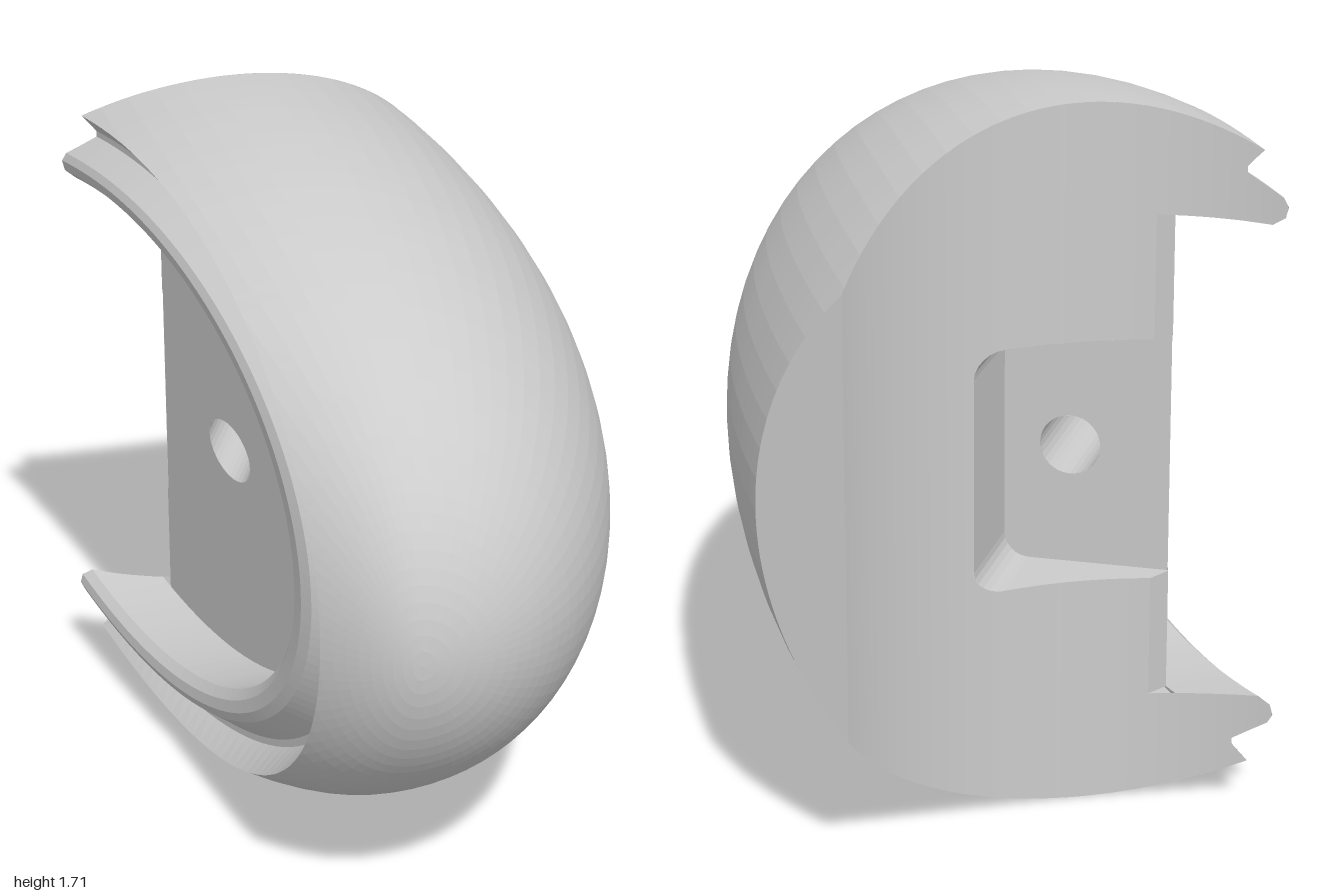
import * as THREE from 'three';
import { ParametricGeometry } from 'three/addons/geometries/ParametricGeometry.js';

const CY = 0.855;                       // height of the mirror plane
const material = new THREE.MeshStandardMaterial({ color: 0xcccccc, flatShading: true, side: THREE.DoubleSide });

// --- Bounding surfaces: each is negative on the solid side ---
// Sheared blunt ellipsoid of the outer body, pinched towards the nose on its open side
const BLUNT = 2.15;
const pinch = (x, z) => (x < 0 && z > 0 ? 1 + 0.75 * z ** 4 : 1);
function body(p) {
  const x = (p.x + 0.2 - 0.1625 * (p.z + 0.6)) / 0.81, z = (p.z + 0.6) / 1.6;
  return (x * pinch(x, z)) ** 2 + ((p.y - CY) / 0.855) ** 2 + Math.abs(z) ** BLUNT - 1;
}
// Upright cylinder that hollows the back
const R = 0.785, CX = -0.338, CZ = -1.382;
const backCut = p => R - Math.hypot(p.x - CX, p.z - CZ);
// Flat at the back edge
const facetCut = p => -(p.z + 1) + 0.487 * (p.x - 0.35);
// Oblique, slightly bowed opening with origin O, direction E and outward normal N
const O = new THREE.Vector3(-0.6, CY, -0.655);
const E = new THREE.Vector3(0.29, 0, 1).normalize();
const N = new THREE.Vector3(-E.z, 0, E.x);
const bow = s => 0.0415 * s - 0.0267 * s * s;
const lengthwise = p => (p.x - O.x) * E.x + (p.z - O.z) * E.z;
const height = p => (p.x - O.x) * N.x + (p.z - O.z) * N.z;
const opening = p => height(p) + bow(lengthwise(p));
// Flat floor of the cavity
const cavityFloor = p => -(p.x + 0.405 - 0.354 * (p.z + 0.55));

// --- Edge of the opening, as a factor on a nominal ellipse ---
const S0 = 0.245, A = 1.345, B = 0.755;
function edgeFactor(angle) {
  const p = new THREE.Vector3();
  let lo = 0, hi = 1.3;
  for (let i = 0; i < 18; i++) {
    const r = (lo + hi) / 2, s = S0 + A * r * Math.cos(angle);
    p.copy(O).addScaledVector(E, s).addScaledVector(N, -bow(s));
    p.y = CY + B * r * Math.sin(angle);
    if (body(p) < 0) lo = r; else hi = r;
  }
  return lo;
}

// Rim profile: [inset from the edge, height above the opening]
const PROFILE = [[0, 0], [0.04, -0.03], [0.055, -0.03], [0.1, 0.036], [0.12, 0.045], [0.145, 0.04], [0.165, 0.018]];
const INSET = 0.165;

function rimHeight(d, s) {
  let i = 1;
  while (i < PROFILE.length - 1 && d > PROFILE[i][0]) i++;
  const [d0, h0] = PROFILE[i - 1], [d1, h1] = PROFILE[i];
  const k = THREE.MathUtils.clamp((d - d0) / (d1 - d0), 0, 1);
  const lip = THREE.MathUtils.clamp(d / 0.04, 0, 1);
  return h0 + (h1 - h0) * k - lip * 0.0615 * s - (1 - lip) * bow(s);
}

function inset(p) {
  const a = (lengthwise(p) - S0) / A, b = (p.y - CY) / B;
  return (1 - Math.hypot(a, b) / edgeFactor(Math.atan2(b, a))) * B;
}

const rimSolid = p => {
  const d = inset(p);
  return d < INSET ? height(p) - rimHeight(d, lengthwise(p)) : cavityFloor(p);
};
const outsideCavity = p => INSET - inset(p);
// Bevel between the cavity floor and the concave back
const bevelCut = p => Math.min(-(p.x + p.z) - 0.956, inset(p) - INSET);

// --- Rear pocket and screw hole, along one slanted axis ---
const F = new THREE.Vector3(-0.173, CY, -0.48);
const AXIS = new THREE.Vector3(0.28, 0, -0.96).normalize();
const SIDE = new THREE.Vector3(-AXIS.z, 0, AXIS.x);
const HOLE = 0.073, Q0 = -0.35, Q1 = 0.16, PH = 0.295, PR = 0.06;
const along = (p, v) => (p.x - F.x) * v.x + (p.z - F.z) * v.z;
const holeCut = p => HOLE - Math.hypot(along(p, SIDE), p.y - CY);
function pocketCut(p) {
  const a = Math.abs(along(p, SIDE) - (Q0 + Q1) / 2) - (Q1 - Q0) / 2 + PR;
  const b = Math.abs(p.y - CY) - PH + PR;
  const rect = Math.hypot(Math.max(a, 0), Math.max(b, 0)) + Math.min(Math.max(a, b), 0) - PR;
  return Math.min(-rect, along(p, AXIS) + 0.001);
}

// Trims a geometry to the side where every given function is negative
function trim(geometry, ...cuts) {
  const pos = geometry.toNonIndexed().getAttribute('position');
  let tris = [];
  for (let i = 0; i < pos.count; i += 3)
    tris.push([0, 1, 2].map(k => new THREE.Vector3().fromBufferAttribute(pos, i + k)));
  const crossing = (inside, outside, f) => {
    const a = inside.clone(), b = outside.clone(), m = new THREE.Vector3();
    for (let i = 0; i < 16; i++) {
      m.addVectors(a, b).multiplyScalar(0.5);
      (f(m) <= 0 ? a : b).copy(m);
    }
    return a;
  };
  for (const f of cuts) {
    const next = [];
    for (const t of tris) {
      const keep = t.map(p => f(p) <= 0), poly = [];
      for (let k = 0; k < 3; k++) {
        const j = (k + 1) % 3;
        if (keep[k]) poly.push(t[k]);
        if (keep[k] !== keep[j]) poly.push(keep[k] ? crossing(t[k], t[j], f) : crossing(t[j], t[k], f));
      }
      for (let k = 2; k < poly.length; k++) next.push([poly[0], poly[k - 1], poly[k]]);
    }
    tris = next;
  }
  const out = new THREE.BufferGeometry().setFromPoints(tris.flat());
  out.computeVertexNormals();
  return out;
}

export function createModel() {
  const model = new THREE.Group();
  const add = (name, geometry, ...cuts) => {
    const mesh = new THREE.Mesh(trim(geometry, ...cuts), material);
    mesh.name = name;
    model.add(mesh);
  };
  const patch = (fn, nu, nv) => new ParametricGeometry(fn, nu, nv);

  // Outer body: a sphere blunted, pinched, scaled and sheared along its length
  const shell = new THREE.SphereGeometry(1, 72, 72).rotateX(Math.PI / 2);
  const sp = shell.getAttribute('position');
  for (let i = 0; i < sp.count; i++) {
    const x = sp.getX(i), z = Math.sign(sp.getZ(i)) * Math.abs(sp.getZ(i)) ** (2 / BLUNT);
    sp.setXYZ(i, 0.81 * x / pinch(x, z) - 0.2 + 0.26 * z, 0.855 * sp.getY(i) + CY, 1.6 * z - 0.6);
  }
  add('outerShell', shell, opening, backCut, facetCut);

  // Rim with groove and lip, running down the cavity side to its floor
  const rows = PROFILE.length;
  add('rimAndCavitySide', patch((u, v, p) => {
    const row = Math.min(Math.round(v * rows), rows), angle = (u - 0.5) * 4.4;
    const d = PROFILE[Math.min(row, rows - 1)][0], k = edgeFactor(angle) * (1 - d / B);
    const s = S0 + A * k * Math.cos(angle);
    p.copy(O).addScaledVector(E, s);
    p.y = CY + B * k * Math.sin(angle);
    p.addScaledVector(N, row < rows ? rimHeight(d, s) : -cavityFloor(p) / (0.354 * N.z - N.x));
  }, 110, rows), backCut);

  // Flat cavity floor with the screw hole
  add('cavityFloor', patch((u, v, p) => {
    const z = -0.7 + 1.7 * u;
    p.set(-0.405 + 0.354 * (z + 0.55), CY + 1.4 * (v - 0.5), z);
  }, 80, 70), outsideCavity, backCut, bevelCut, holeCut, pocketCut);

  // Bevelled back edge of the cavity floor
  add('floorBevel', patch((u, v, p) => {
    const x = -0.45 + 0.14 * u;
    p.set(x, CY + 1.3 * (v - 0.5), -0.956 - x);
  }, 8, 60), outsideCavity, backCut, cavityFloor, pocketCut);

  // Concave back
  add('concaveBack', patch((u, v, p) => {
    const a = -0.6 + 1.75 * u;
    p.set(CX + R * Math.sin(a), CY + 1.74 * (v - 0.5), CZ + R * Math.cos(a));
  }, 110, 130), body, facetCut, rimSolid, bevelCut, pocketCut);

  // Flat back edge
  add('backFlat', patch((u, v, p) => {
    const x = 0.25 + 0.4 * u;
    p.set(x, CY + 1.3 * (v - 0.5), -1 + 0.487 * (x - 0.35));
  }, 24, 48), body, backCut);

  // Pocket floor and sides
  const outsidePocket = p => -pocketCut(p.clone().addScaledVector(AXIS, 0.01));
  add('pocketFloor', patch((u, v, p) => {
    p.copy(F).addScaledVector(SIDE, Q0 + (Q1 - Q0) * u);
    p.y = CY + 2 * PH * (v - 0.5);
  }, 40, 44), backCut, cavityFloor, bevelCut, holeCut, outsidePocket);

  const outline = [];
  const corners = [[Q1, PH], [Q0, PH], [Q0, -PH], [Q1, -PH]];
  corners.forEach(([q, y], quarter) => {
    for (let i = 0; i <= 6; i++) {
      const t = (quarter + i / 6) * Math.PI / 2;
      outline.push([q - Math.sign(q) * PR + PR * Math.cos(t), y - Math.sign(y) * PR + PR * Math.sin(t)]);
    }
  });
  add('pocketSides', patch((u, v, p) => {
    const [q, y] = outline[Math.round(u * outline.length) % outline.length];
    p.copy(F).addScaledVector(SIDE, q).addScaledVector(AXIS, 0.4 * v);
    p.y = CY + y;
  }, outline.length, 12), backCut, cavityFloor, bevelCut);

  // Screw hole between pocket and cavity
  add('screwHole', patch((u, v, p) => {
    const t = u * Math.PI * 2;
    p.copy(F).addScaledVector(SIDE, HOLE * Math.cos(t)).addScaledVector(AXIS, -0.7 * v);
    p.y = CY + HOLE * Math.sin(t);
  }, 32, 10), cavityFloor);

  return model;
}
